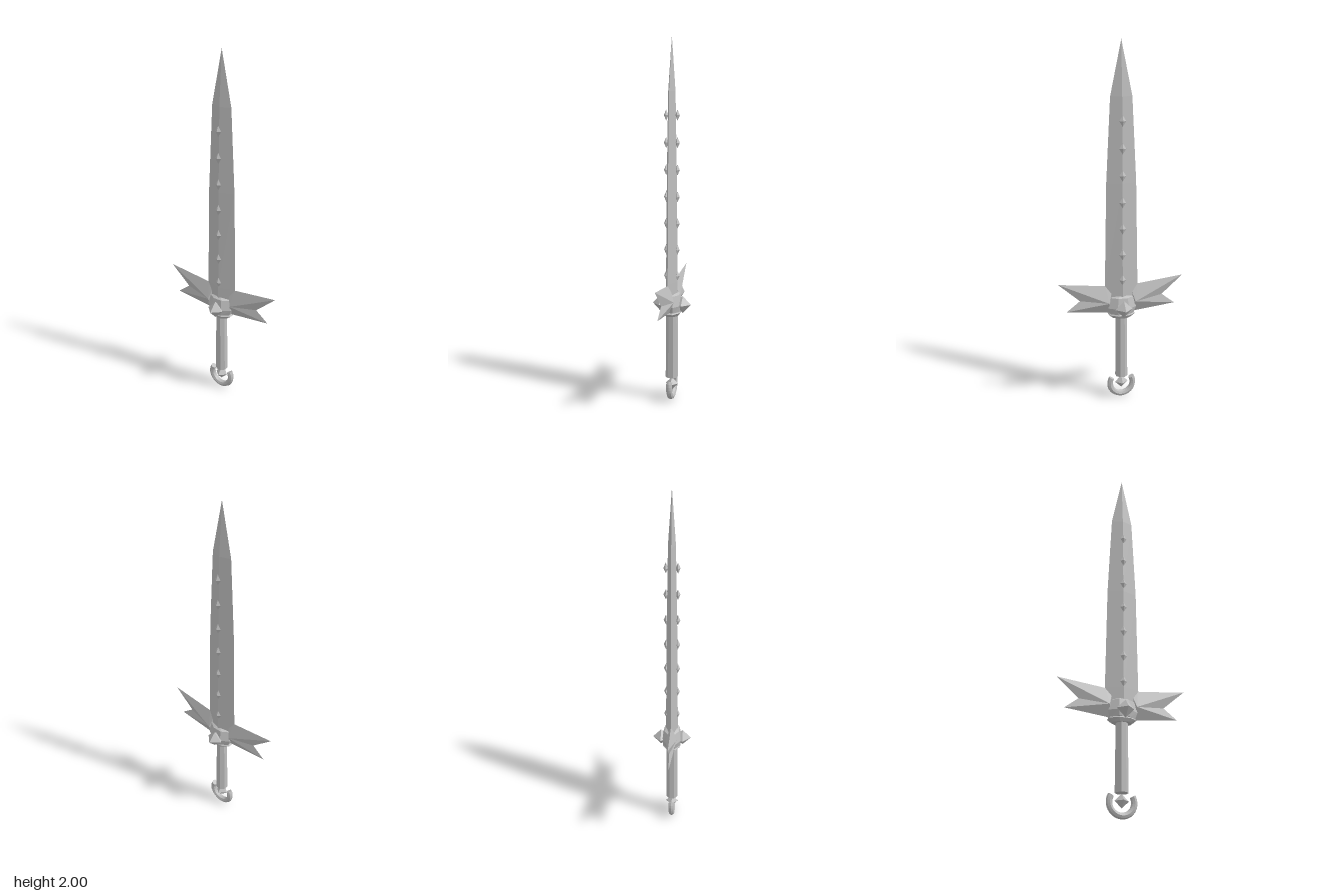
import * as THREE from 'three';

const steel = new THREE.MeshStandardMaterial({ color: 0xbebebe, flatShading: true });
steel.name = 'steel';

// Stacked elliptical rings, listed from top to bottom as [y, halfWidth, halfDepth]
function loft(rings, sides, turn = 0) {
  const n = rings.length - 1;
  const geo = new THREE.CylinderGeometry(1, 1, 1, sides, n, false, turn);
  const p = geo.attributes.position;
  for (let i = 0; i < p.count; i++) {
    const [y, w, d] = rings[Math.round((0.5 - p.getY(i)) * n)];
    p.setXYZ(i, p.getX(i) * w, y, p.getZ(i) * d);
  }
  return geo;
}

// Eight-faced gem with its own half sizes
function gem(w, h, d) {
  return new THREE.OctahedronGeometry(1).scale(w, h, d);
}

// Forked wing: a thin outline rising to a ridge point on both faces
function wingGeometry(side) {
  const outline = [[0.05, 0.665], [0.09, 0.675], [0.355, 0.705], [0.235, 0.6], [0.31, 0.542], [0.06, 0.515]];
  const apex = [0.075, 0.58];
  const pos = [];
  for (const z of [0.03, -0.03]) {
    for (let i = 0; i < outline.length; i++) {
      const a = outline[i], b = outline[(i + 1) % outline.length];
      // outline runs clockwise from the front, so swap for the front face
      const [p, q] = z * side > 0 ? [b, a] : [a, b];
      pos.push(side * apex[0], apex[1], z, side * p[0], p[1], 0, side * q[0], q[1], 0);
    }
  }
  const geo = new THREE.BufferGeometry();
  geo.setAttribute('position', new THREE.Float32BufferAttribute(pos, 3));
  geo.computeVertexNormals();
  return geo;
}

export function createModel() {
  const sword = new THREE.Group();
  sword.name = 'sword';
  const add = (name, geo, x = 0, y = 0, z = 0) => {
    const mesh = new THREE.Mesh(geo, steel);
    mesh.name = name;
    mesh.position.set(x, y, z);
    sword.add(mesh);
    return mesh;
  };

  // Diamond-section blade
  add('blade', loft([
    [2.0, 0, 0], [1.71, 0.06, 0.02], [1.25, 0.083, 0.028],
    [0.68, 0.093, 0.033], [0.56, 0.093, 0.033],
  ], 4));

  // Studs along the ridge on both faces
  for (let i = 0; i < 7; i++) {
    for (const s of [1, -1]) add('bladeStud', gem(0.019, 0.03, 0.013), 0, 0.712 + i * 0.1455, s * 0.031);
  }

  // Cross guard
  for (const s of [1, -1]) add(s > 0 ? 'leftWing' : 'rightWing', wingGeometry(s));
  add('guardHub', loft([
    [0.621, 0.035, 0.025], [0.608, 0.068, 0.045], [0.55, 0.086, 0.058], [0.515, 0.072, 0.053],
  ], 8, Math.PI / 8));
  add('guardCollar', loft([
    [0.52, 0.07, 0.045], [0.508, 0.08, 0.053], [0.49, 0.055, 0.043],
  ], 8, Math.PI / 8));

  // Pyramid jewels with a shallow back, front and rear
  for (const s of [1, -1]) {
    const jewel = add('guardJewel', loft([
      [0.108, 0, 0], [0.062, 0.048, 0.048], [0.05, 0.04, 0.04],
    ], 4), 0, 0.552, 0);
    jewel.rotation.x = s * Math.PI / 2;
  }

  // Grip
  add('grip', loft([[0.5, 0.031, 0.033], [0.13, 0.035, 0.035]], 8, Math.PI / 8));

  // Open ring pommel with end caps and a central gem
  const start = Math.PI * 5 / 6, sweep = Math.PI * 4 / 3, radius = 0.066, tube = 0.017;
  const ring = new THREE.TorusGeometry(radius, tube, 8, 20, sweep).rotateZ(start);
  add('pommelRing', ring, 0, 0.083, 0);
  for (const [angle, tilt] of [[start, Math.PI / 2], [start + sweep, -Math.PI / 2]]) {
    const cap = new THREE.CircleGeometry(tube, 8).rotateX(tilt).rotateZ(angle);
    add('pommelRingEnd', cap, Math.cos(angle) * radius, 0.083 + Math.sin(angle) * radius, 0);
  }
  add('pommelGem', gem(0.038, 0.036, 0.036), 0, 0.09, 0);

  return sword;
}
